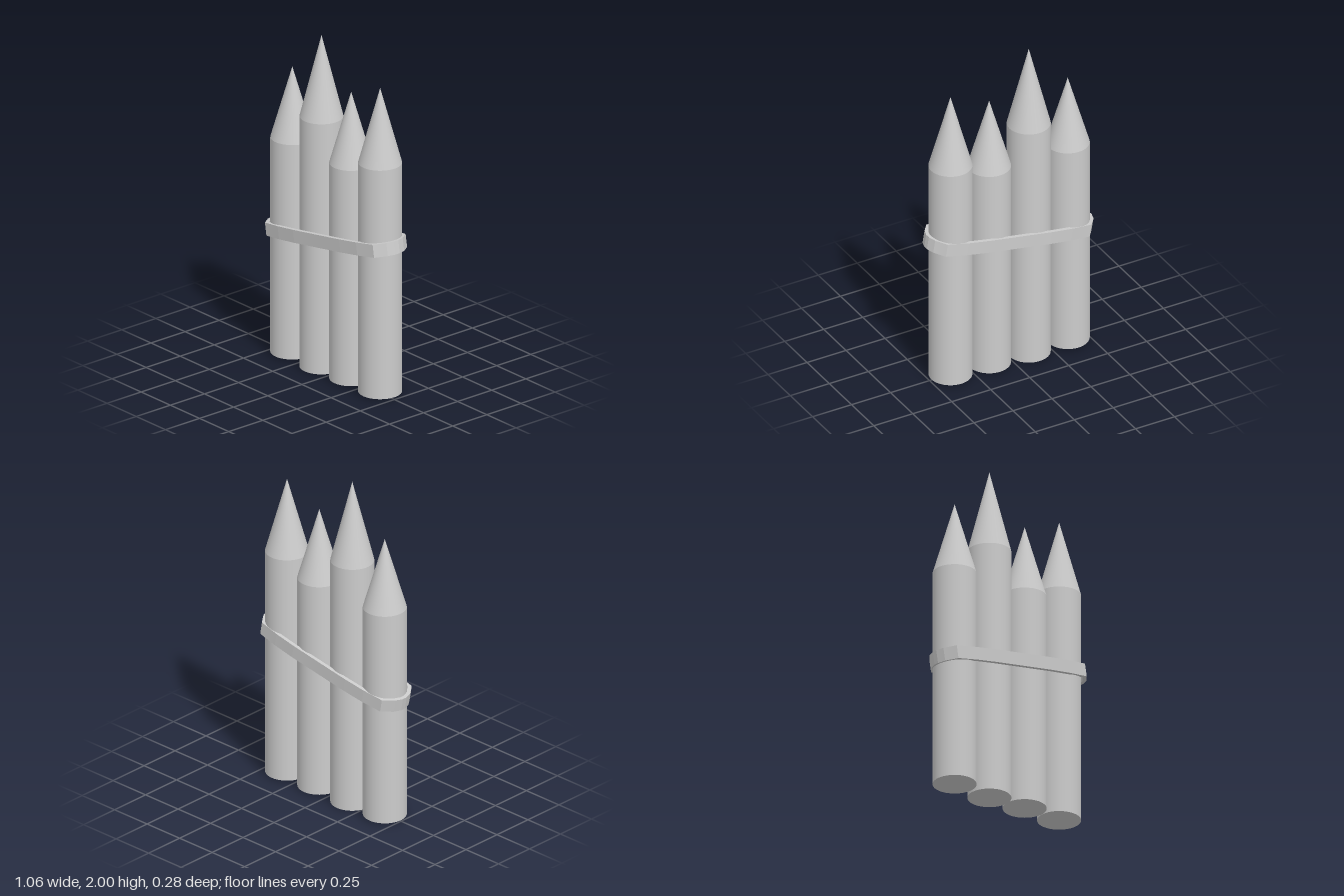
import * as THREE from 'three';

const material = new THREE.MeshStandardMaterial({ color: 0xcccccc });
const RADIUS = 0.123;
const Z = -0.007;

// One round stake: closed bottom, straight shaft and conical point
function makeStake(x, base, shoulder, tip) {
  const stake = new THREE.Group();
  stake.name = 'stake';
  const h = shoulder - base;
  const shaft = new THREE.Mesh(new THREE.CylinderGeometry(RADIUS, RADIUS, h, 48), material);
  shaft.name = 'shaft';
  shaft.position.y = base + h / 2;
  const point = new THREE.Mesh(new THREE.ConeGeometry(RADIUS, tip - shoulder, 48, 8, true), material);
  point.name = 'point';
  point.position.y = (shoulder + tip) / 2;
  stake.add(shaft, point);
  stake.position.set(x, 0, Z);
  return stake;
}

// Closed loop outline from one quarter, mirrored in both axes
function loop(quarter) {
  const back = quarter.slice().reverse();
  return [
    ...quarter.map(([x, y]) => [x, y]),
    ...back.map(([x, y]) => [-x, y]),
    ...quarter.map(([x, y]) => [-x, -y]),
    ...back.map(([x, y]) => [x, -y]),
  ].map(([x, y]) => new THREE.Vector2(x, y));
}

// Slanted strap wrapped around all the stakes
function makeStrap() {
  const height = 0.076;
  const shape = new THREE.Shape(
    loop([[0.53, 0.015], [0.515, 0.06], [0.468, 0.121], [0.34, 0.136], [0.2, 0.142]]));
  shape.holes.push(new THREE.Path(
    loop([[0.509, 0.012], [0.495, 0.052], [0.455, 0.101], [0.335, 0.115], [0.2, 0.12]])));
  const geometry = new THREE.ExtrudeGeometry(shape, { depth: height, bevelEnabled: false });
  geometry.translate(0, 0, -height / 2).rotateX(-Math.PI / 2);
  const strap = new THREE.Mesh(geometry, material);
  strap.name = 'strap';
  strap.position.set(-0.002, 0.835, -0.002);
  strap.rotation.z = THREE.MathUtils.degToRad(9.8);
  return strap;
}

export function createModel() {
  const model = new THREE.Group();
  model.name = 'stakeBundle';
  // x, base, shoulder, tip
  const stakes = [
    [-0.382, 0.01, 1.305, 1.73],
    [-0.132, 0, 1.51, 2],
    [0.122, 0.01, 1.31, 1.738],
    [0.37, 0.01, 1.39, 1.84],
  ];
  stakes.forEach((s) => model.add(makeStake(...s)));
  model.add(makeStrap());
  return model;
}
